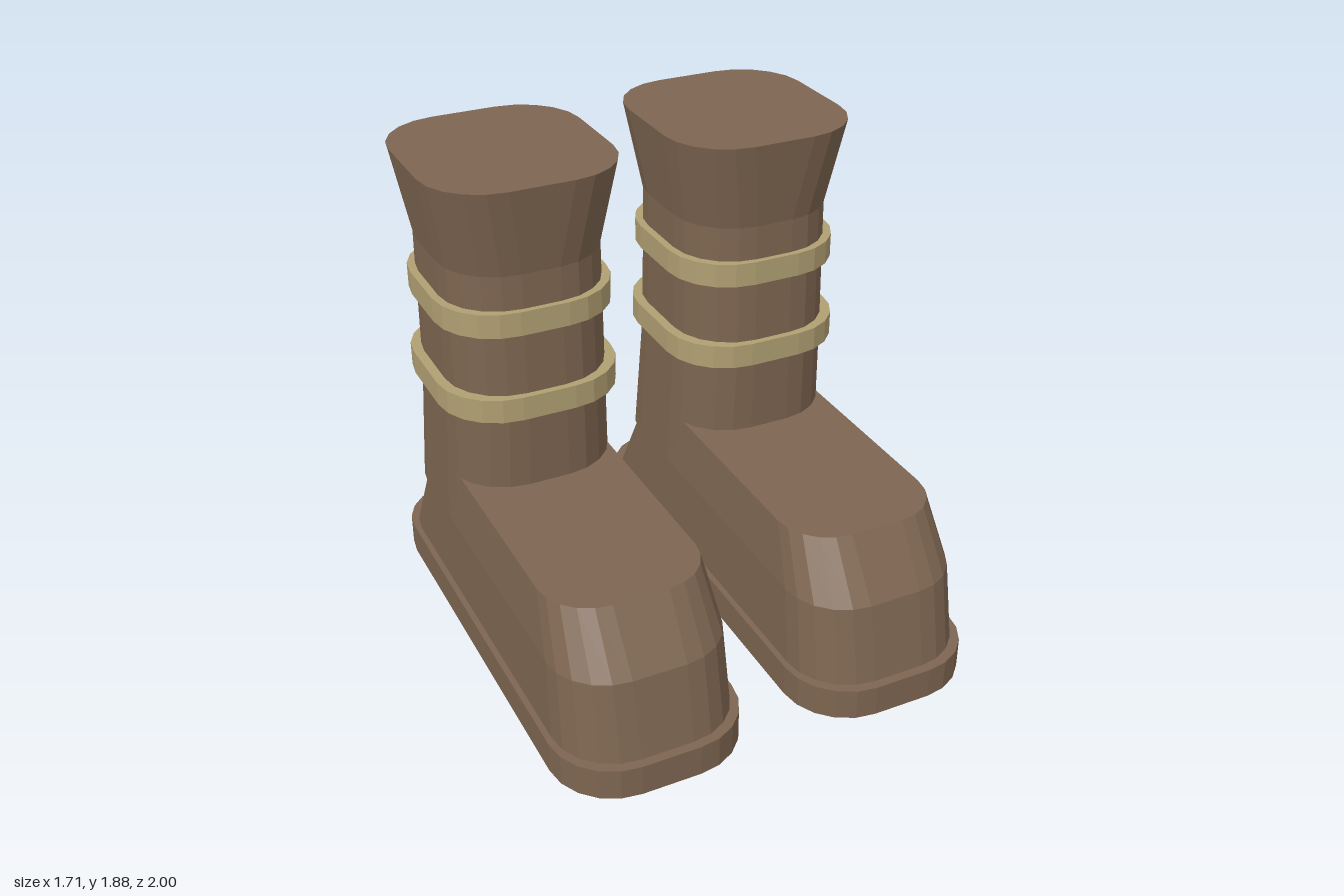
import * as THREE from 'three';

const STEPS = 5; // segments per rounded corner

// Rounded rectangle ring: [y, half width, back z, front z, corner radius]
function ring([y, hw, zb, zf, r]) {
  const pts = [];
  const corners = [[hw - r, zf - r], [-hw + r, zf - r], [-hw + r, zb + r], [hw - r, zb + r]];
  corners.forEach(([cx, cz], q) => {
    for (let i = 0; i <= STEPS; i++) {
      const a = (q + i / STEPS) * Math.PI / 2;
      pts.push([cx + r * Math.cos(a), y, cz + r * Math.sin(a)]);
    }
  });
  return pts;
}

// Closed solid through a stack of rings, bottom to top
function loft(sections) {
  const rings = sections.map(ring);
  const n = rings[0].length;
  const pos = [];
  const tri = (a, b, c) => pos.push(...a, ...b, ...c);
  for (let k = 0; k < rings.length - 1; k++) {
    const lo = rings[k], hi = rings[k + 1];
    for (let i = 0; i < n; i++) {
      const j = (i + 1) % n;
      tri(lo[i], hi[i], hi[j]);
      tri(lo[i], hi[j], lo[j]);
    }
  }
  const bottom = rings[0], top = rings[rings.length - 1];
  for (let i = 1; i < n - 1; i++) {
    tri(bottom[0], bottom[i], bottom[i + 1]);
    tri(top[0], top[i + 1], top[i]);
  }
  const g = new THREE.BufferGeometry();
  g.setAttribute('position', new THREE.Float32BufferAttribute(pos, 3));
  g.computeVertexNormals();
  return g;
}

export function createModel() {
  const leather = new THREE.MeshStandardMaterial({ color: 0x7d6550 });
  leather.name = 'brown leather';
  const strap = new THREE.MeshStandardMaterial({ color: 0xb09f72 });
  strap.name = 'tan strap';

  const parts = [
    ['sole', leather, [[0, 0.365, -1, 1, 0.25], [0.125, 0.365, -1, 1, 0.25]]],
    ['foot', leather, [
      [0.12, 0.342, -0.965, 0.965, 0.24],
      [0.43, 0.334, -0.79, 0.905, 0.23],
      [0.655, 0.308, -0.62, 0.755, 0.2],
    ]],
    ['shaft', leather, [
      [0.43, 0.335, -0.84, -0.08, 0.25],
      [0.97, 0.317, -0.785, -0.06, 0.24],
      [1.54, 0.315, -0.775, -0.07, 0.24],
      [1.885, 0.375, -0.83, -0.015, 0.25],
    ]],
    ['lowerStrap', strap, [[0.965, 0.355, -0.805, -0.035, 0.25], [1.06, 0.355, -0.805, -0.035, 0.25]]],
    ['upperStrap', strap, [[1.31, 0.345, -0.795, -0.045, 0.25], [1.405, 0.345, -0.795, -0.045, 0.25]]],
  ];

  const model = new THREE.Group();
  model.name = 'boots';
  const geometries = parts.map(([, , sections]) => loft(sections));

  // Matching pair, one per side
  for (const [side, x] of [['leftBoot', 0.478], ['rightBoot', -0.478]]) {
    const boot = new THREE.Group();
    boot.name = side;
    boot.position.x = x;
    parts.forEach(([name, material], i) => {
      const mesh = new THREE.Mesh(geometries[i], material);
      mesh.name = name;
      boot.add(mesh);
    });
    model.add(boot);
  }
  return model;
}
